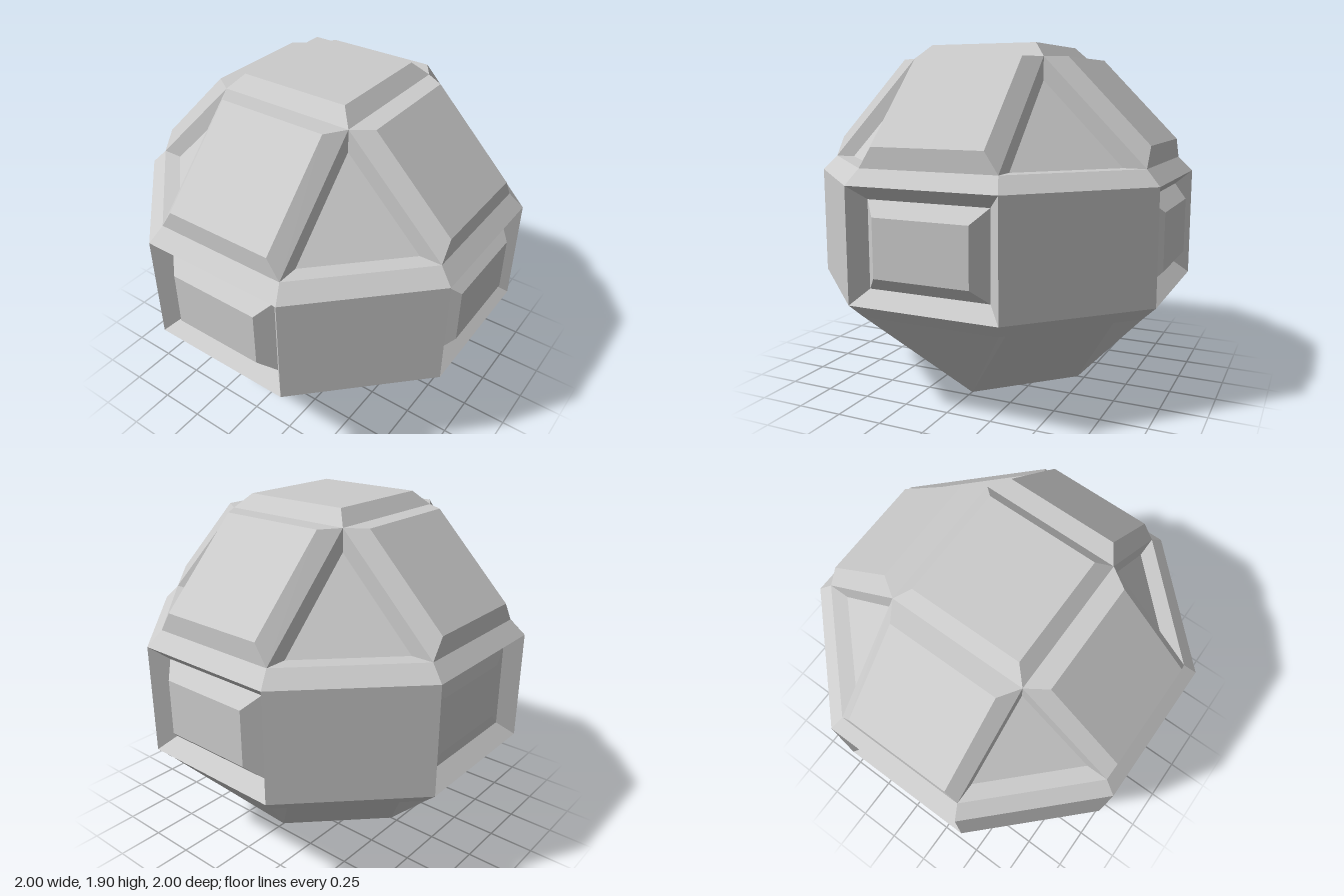
import * as THREE from 'three';

const CENTRE = new THREE.Vector3(0, 0.95, 0);
const material = new THREE.MeshStandardMaterial({ color: 0xcccccc, flatShading: true });

// Flat mesh from convex polygons, each turned to face away from the centre.
function facets(name, polygons) {
  const pos = [];
  for (const poly of polygons) {
    const p = poly.map(c => new THREE.Vector3(...c));
    for (let i = 1; i < p.length - 1; i++) {
      const [a, b, c] = [p[0], p[i], p[i + 1]];
      const n = b.clone().sub(a).cross(c.clone().sub(a));
      const mid = a.clone().add(b).add(c).divideScalar(3).sub(CENTRE);
      const tri = n.dot(mid) < 0 ? [a, c, b] : [a, b, c];
      tri.forEach(v => pos.push(v.x, v.y, v.z));
    }
  }
  const g = new THREE.BufferGeometry();
  g.setAttribute('position', new THREE.Float32BufferAttribute(pos, 3));
  g.computeVertexNormals();
  const mesh = new THREE.Mesh(g, material);
  mesh.name = name;
  return mesh;
}

// Quads joining two loops of equal length.
const bridge = (a, b) => a.map((p, i) => {
  const j = (i + 1) % a.length;
  return [p, a[j], b[j], b[i]];
});

// Rectangle facing +z, and a level square.
const rect = (w, y0, y1, z) => [[-w, y0, z], [w, y0, z], [w, y1, z], [-w, y1, z]];
const square = (w, y) => [[-w, y, -w], [w, y, -w], [w, y, w], [-w, y, w]];
// Level octagon with half side s and apothem r.
const octagon = (s, r, y) => [[-s, r], [s, r], [r, s], [r, -s], [s, -r], [-s, -r], [-r, -s], [-r, s]]
  .map(([x, z]) => [x, y, z]);

export function createModel() {
  const model = new THREE.Group();
  model.name = 'facetedPod';

  const S = 0.414, s = 0.38, r = 0.925;
  const waistTop = octagon(S, 1, 1.2), waistBottom = octagon(S, 1, 0.595);
  const upperRim = octagon(s, r, 1.28), lowerRim = octagon(s, r, 0.52);

  // Sloping rims above and below the waist
  model.add(facets('upperRim', bridge(waistTop, upperRim)));
  model.add(facets('lowerRim', bridge(waistBottom, lowerRim)));

  // Raised roof plate
  const roof = square(0.308, 1.905);
  model.add(facets('roofPlate', [...bridge(square(s, 1.83), roof), roof]));

  // Diamond base
  const b = 0.46;
  model.add(facets('base', [[[b, 0, 0], [0, 0, b], [-b, 0, 0], [0, 0, -b]]]));

  for (let k = 0; k < 4; k++) {
    const side = new THREE.Group();
    side.name = 'side' + (k + 1);
    side.rotation.y = k * Math.PI / 2;

    // Recessed window with an inner panel; the rear panel lies almost flush in its recess
    const recess = rect(0.337, 0.672, 1.128, 0.92);
    const panel = rect(0.263, 0.747, 1.053, k === 2 ? 0.93 : 0.997);
    side.add(facets('windowFrame', bridge(rect(S, 0.595, 1.2, 1), recess)));
    side.add(facets('windowPanel', [...bridge(recess, panel), panel]));

    // Plain diagonal wall
    side.add(facets('cornerWall', [[[S, 0.595, 1], [1, 0.595, S], [1, 1.2, S], [S, 1.2, 1]]]));

    // Raised sloping plate
    const foot = [[-s, 1.28, r], [s, 1.28, r], [s, 1.83, s], [-s, 1.83, s]];
    const top = [[-0.308, 1.388, r], [0.308, 1.388, r], [0.308, 1.83, 0.488], [-0.308, 1.83, 0.488]];
    side.add(facets('slopingPlate', [...bridge(foot, top), top]));

    // Sunken corner triangle with its three walls
    const outer = [[s, 1.28, r], [r, 1.28, s], [s, 1.83, s]];
    const inner = [[s, 1.28, 0.805], [0.805, 1.28, s], [s, 1.71, s]];
    side.add(facets('cornerTriangle', [...bridge(outer, inner), inner]));

    // Underside triangle and sunken underside panel
    side.add(facets('undersideTriangle', [[[-s, 0.52, r], [s, 0.52, r], [0, 0, b]]]));
    const u = [s, 0.52, 0.8], v = [0.8, 0.52, s];
    side.add(facets('undersidePanel', [
      [u, v, [b, 0, 0], [0, 0, b]],
      [[s, 0.52, r], [r, 0.52, s], v, u],
      [[s, 0.52, r], u, [0, 0, b]],
      [[r, 0.52, s], v, [b, 0, 0]],
    ]));

    model.add(side);
  }
  return model;
}
